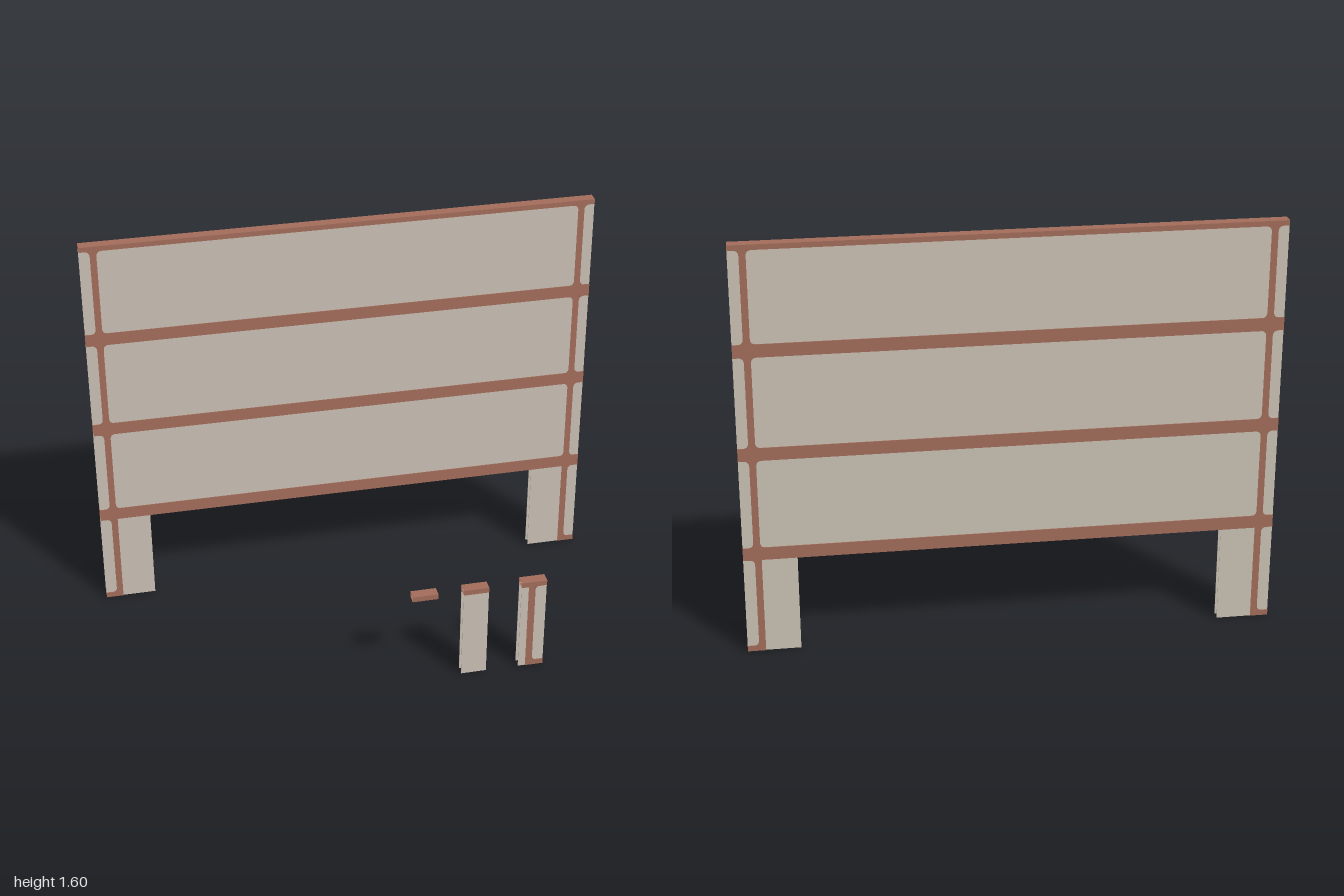
import * as THREE from 'three';

const red = new THREE.MeshStandardMaterial({ color: 0xa26c5a, side: THREE.DoubleSide });
red.name = 'brick red frame';
const beige = new THREE.MeshStandardMaterial({ color: 0xc9c0b3 });
beige.name = 'beige panel';

const DEPTH = 0.042;   // distance between front and back faces
const RECESS = 0.003;  // panels sit just behind the frame
const SHEET = 0.003;

function add(parent, geometry, material, name, x = 0, y = 0, z = 0) {
  const mesh = new THREE.Mesh(geometry, material);
  mesh.name = name;
  mesh.position.set(x, y, z);
  parent.add(mesh);
  return mesh;
}

// Horizontal channel, open at both x ends
function beam(parent, name, x0, x1, y0, y1) {
  const g = new THREE.BoxGeometry(x1 - x0, y1 - y0, DEPTH);
  g.setIndex(Array.from(g.index.array).slice(12));
  g.clearGroups();
  add(parent, g, red, name, (x0 + x1) / 2, (y0 + y1) / 2);
}

// Pair of thin sheets, one near each face
function panel(parent, name, x0, x1, y0, y1) {
  for (const s of [1, -1]) {
    add(parent, new THREE.BoxGeometry(x1 - x0, y1 - y0, SHEET), beige, name,
      (x0 + x1) / 2, (y0 + y1) / 2, s * (DEPTH / 2 - RECESS - SHEET / 2));
  }
}

// Post face with fillets; each flag turns on a flare: inner/outer, bottom/top
function post(parent, name, x0, x1, y0, y1, flare) {
  const r = 0.022;
  const [ib, ob, ot, it] = flare.map((f) => (f ? r : 0));
  const s = new THREE.Shape();
  s.moveTo(x0 - ib, y0);
  s.lineTo(x1 + ob, y0);
  s.quadraticCurveTo(x1, y0, x1, y0 + ob);
  s.lineTo(x1, y1 - ot);
  s.quadraticCurveTo(x1, y1, x1 + ot, y1);
  s.lineTo(x0 - it, y1);
  s.quadraticCurveTo(x0, y1, x0, y1 - it);
  s.lineTo(x0, y0 + ib);
  s.quadraticCurveTo(x0, y0, x0 - ib, y0);
  const g = new THREE.ShapeGeometry(s, 6);
  for (const side of [1, -1]) {
    const mesh = add(parent, g, red, name, 0, 0, side * (DEPTH / 2 - 0.0005));
    // rear face is turned outward, with x kept in place
    if (side < 0) {
      const back = g.clone();
      const idx = Array.from(g.index.array);
      for (let i = 0; i < idx.length; i += 3) [idx[i], idx[i + 1]] = [idx[i + 1], idx[i]];
      back.setIndex(idx);
      back.computeVertexNormals();
      mesh.geometry = back;
    }
  }
}

// Ground-floor post with a web through the wall and a foot on its outer side
function footedPost(parent, x0, x1, xEnd) {
  const top = 0.38, foot = 0.022;
  post(parent, 'lowerPost', x0, x1, foot, top, [false, true, true, false]);
  const web = add(parent, new THREE.PlaneGeometry(DEPTH, top), red, 'postWeb', x1, top / 2);
  web.rotation.y = Math.PI / 2;
  beam(parent, 'foot', x0, xEnd, 0, foot);
  panel(parent, 'lowerEndStrip', x1, xEnd, foot, top);
}

export function createModel() {
  const model = new THREE.Group();
  model.name = 'wallFrame';

  // Tall rear wall
  const wall = new THREE.Group();
  wall.name = 'rearWall';
  wall.position.z = -0.399;
  model.add(wall);

  const beams = [[0.38, 0.43], [0.78, 0.83], [1.18, 1.23], [1.58, 1.6]];
  beams.forEach(([a, b]) => beam(wall, 'crossBeam', -1, 1, a, b));
  for (let i = 0; i < 3; i++) {
    const y0 = beams[i][1], y1 = beams[i + 1][0];
    panel(wall, 'wallPanel', -1, 1, y0, y1);
    post(wall, 'leftPost', 0.935, 0.96, y0, y1, [true, true, true, true]);
    post(wall, 'rightPost', -0.96, -0.935, y0, y1, [true, true, true, true]);
  }

  // Ground-floor ends, mirrored by a half turn
  for (const side of [1, -1]) {
    const end = new THREE.Group();
    end.name = side > 0 ? 'leftWallEnd' : 'rightWallEnd';
    footedPost(end, 0.932, 0.957, 1);
    panel(end, 'lowerPanel', 0.8, 0.932, 0, 0.38);
    if (side < 0) end.rotation.y = Math.PI;
    wall.add(end);
  }

  // Three small sample pieces in front
  const front = new THREE.Group();
  front.name = 'frontPieces';
  front.position.z = 0.399;
  model.add(front);
  for (const x of [0.1, 0.3, 0.53]) beam(front, 'cap', x, x + 0.1, 0.378, 0.4);
  panel(front, 'smallPanel', 0.3, 0.4, 0, 0.378);
  panel(front, 'jambPanel', 0.53, 0.56, 0, 0.378);
  footedPost(front, 0.558, 0.585, 0.63);

  return model;
}
